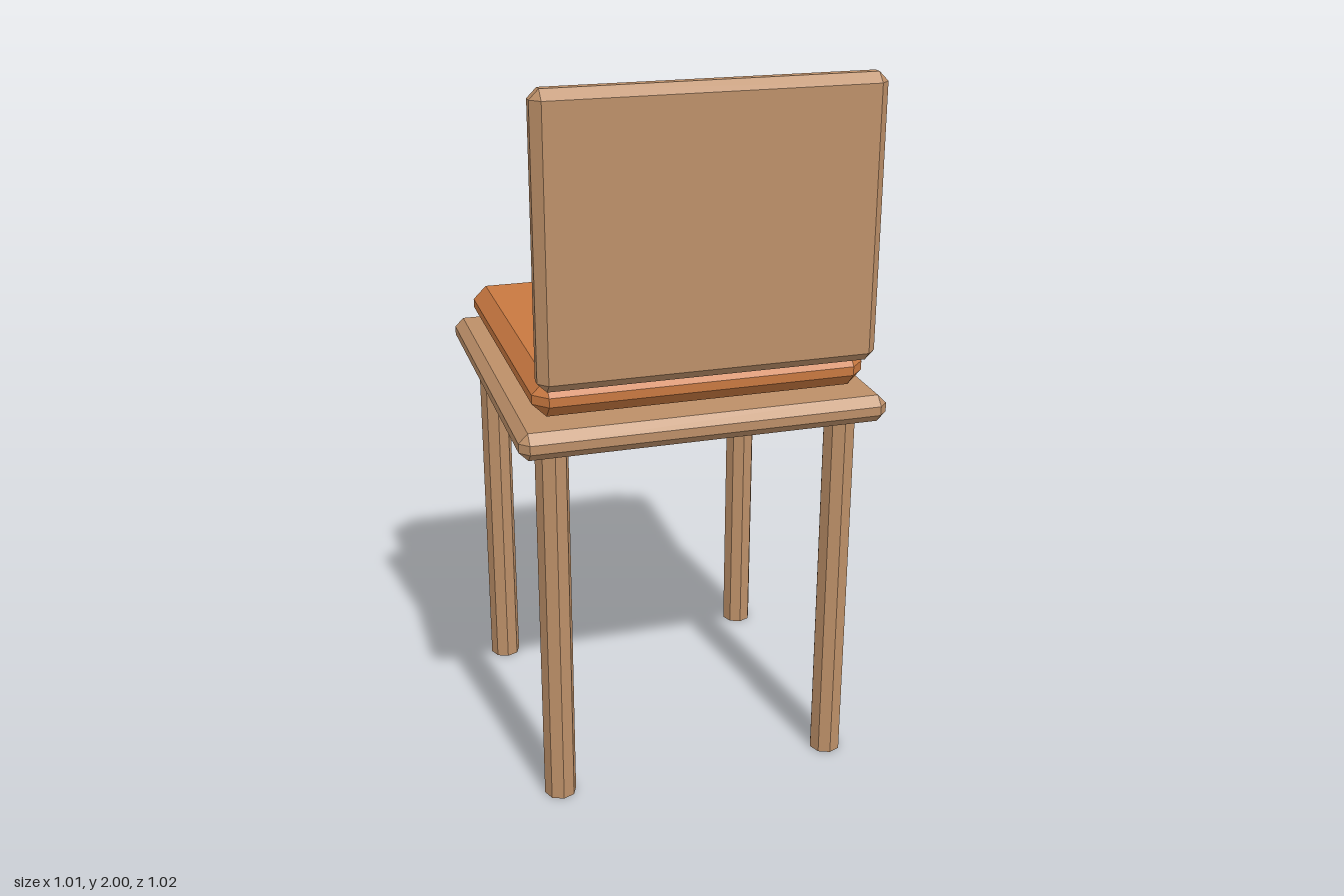
import * as THREE from 'three';
import { ConvexGeometry } from 'three/addons/geometries/ConvexGeometry.js';

const SEAT_Z = -0.007; // seat, cushion and legs share this centre

// Box with every edge and corner cut by a flat bevel b
function chamferBox(w, h, d, b) {
  const points = [];
  for (const sx of [-1, 1]) for (const sy of [-1, 1]) for (const sz of [-1, 1]) {
    const x = w / 2, y = h / 2, z = d / 2;
    points.push(
      new THREE.Vector3(sx * x, sy * (y - b), sz * (z - b)),
      new THREE.Vector3(sx * (x - b), sy * y, sz * (z - b)),
      new THREE.Vector3(sx * (x - b), sy * (y - b), sz * z)
    );
  }
  return new ConvexGeometry(points);
}

export function createModel() {
  const model = new THREE.Group();
  model.name = 'chair';
  const wood = new THREE.MeshStandardMaterial({ color: 0xbc8f68, flatShading: true });
  const fabric = new THREE.MeshStandardMaterial({ color: 0xc87840, flatShading: true });

  const add = (name, geometry, material, x, y, z) => {
    const mesh = new THREE.Mesh(geometry, material);
    mesh.name = name;
    mesh.position.set(x, y, z);
    model.add(mesh);
  };

  // Seat board, floating cushion and back panel
  add('seat', chamferBox(1.006, 0.075, 1.006, 0.025), wood, 0, 1.098, SEAT_Z);
  add('cushion', chamferBox(0.906, 0.101, 0.906, 0.038), fabric, 0, 1.201, SEAT_Z);
  add('backrest', chamferBox(0.906, 0.754, 0.075, 0.025), wood, 0, 1.623, 0.471);

  // Four eight-sided legs
  const legHeight = 1.062;
  const leg = new THREE.CylinderGeometry(0.045, 0.045, legHeight, 8);
  for (const [side, sx] of [['Left', 1], ['Right', -1]]) {
    for (const [end, sz] of [['front', 1], ['back', -1]]) {
      add(`${end}${side}Leg`, leg, wood, sx * 0.402, legHeight / 2, SEAT_Z + sz * 0.402);
    }
  }
  return model;
}
